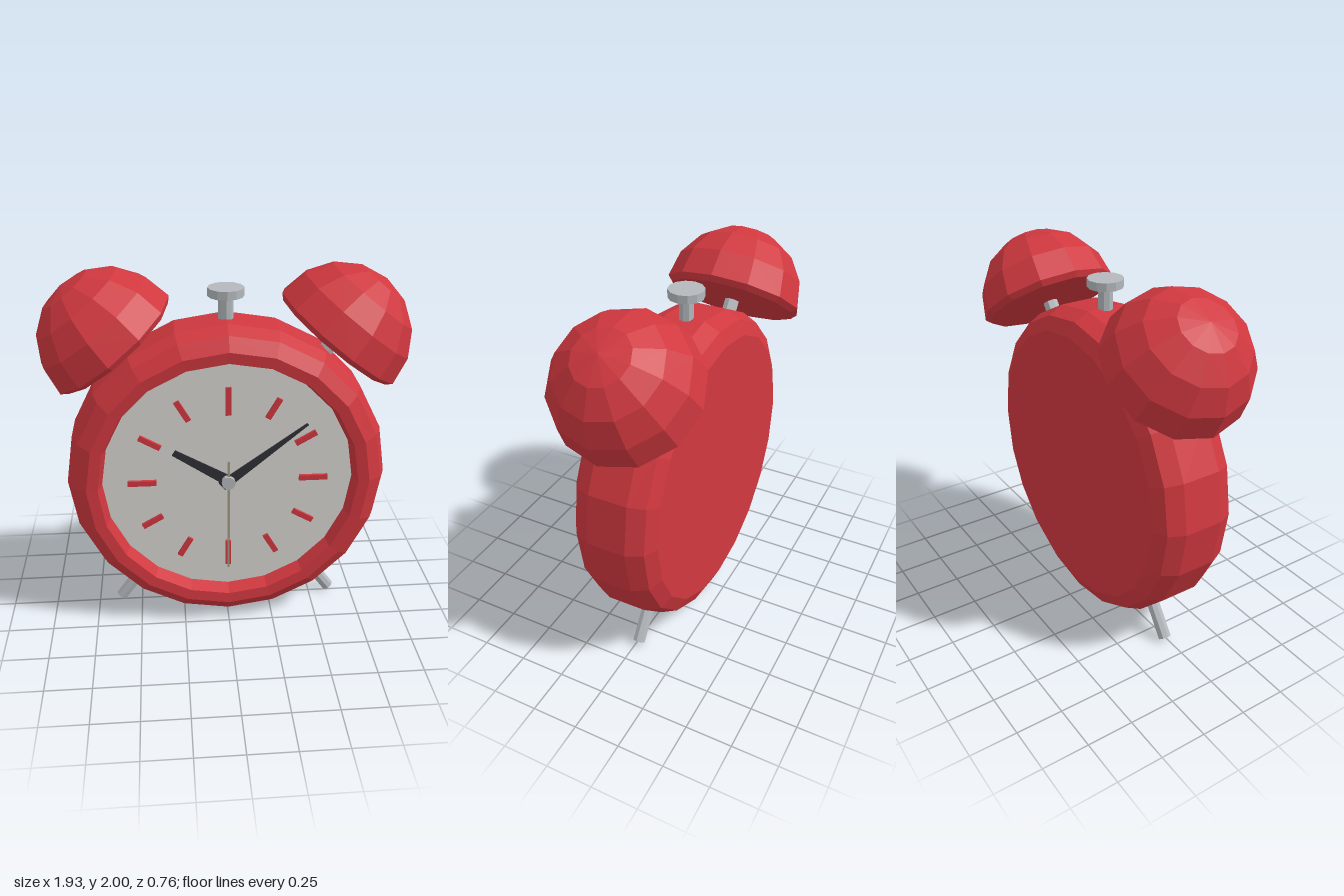
import * as THREE from 'three';

const CY = 0.873; // height of the clock centre
const DIAL_Z = 0.155;

const paint = (color) => new THREE.MeshStandardMaterial({ color, flatShading: true });
const red = paint(0xd0383f);
const metal = paint(0xb4b8bc);
const cream = paint(0xd6d4cf);
const dark = paint(0x2e2f33);
const tan = paint(0xa09880);

const lathe = (pts, sides) =>
  new THREE.LatheGeometry(pts.map(([r, y]) => new THREE.Vector2(r, y)), sides);

export function createModel() {
  const model = new THREE.Group();
  model.name = 'alarmClock';

  const add = (name, geometry, material, parent = model) => {
    const mesh = new THREE.Mesh(geometry, material);
    mesh.name = name;
    parent.add(mesh);
    return mesh;
  };

  // Rod pointing away from the clock centre, at an angle clockwise from straight up
  const radialRod = (name, angle, from, to, radius, z = 0) => {
    const rod = add(name, new THREE.CylinderGeometry(radius, radius, to - from, 8), metal);
    const mid = (from + to) / 2;
    rod.position.set(Math.sin(angle) * mid, CY + Math.cos(angle) * mid, z);
    rod.rotation.z = -angle;
  };

  // Case: closed back, rounded sides, flat front rim and recessed inner wall
  const caseGeometry = lathe([
    [0, -0.22], [0.745, -0.22], [0.82, -0.185], [0.86, -0.1], [0.86, 0.11],
    [0.825, 0.19], [0.755, 0.24], [0.695, 0.235], [0.672, DIAL_Z - 0.01],
  ], 20).rotateX(Math.PI / 2);
  add('case', caseGeometry, red).position.y = CY;

  // Face group, centred on the hands' axis
  const face = new THREE.Group();
  face.name = 'face';
  face.position.set(0, CY, DIAL_Z);
  model.add(face);
  add('dial', new THREE.CircleGeometry(0.68, 20), cream, face);

  // Hour marks, longer at the quarters
  for (let i = 0; i < 12; i++) {
    const length = i % 3 ? 0.125 : 0.155;
    const mark = new THREE.BoxGeometry(0.03, length, 0.016);
    mark.translate(0, 0.54 - length / 2, 0.008).rotateZ(-i * Math.PI / 6);
    add('hourMark', mark, red, face);
  }

  // Tapered hands
  const hand = (name, angle, tail, tip, tailWidth, tipWidth, z, material) => {
    const shape = new THREE.Shape([
      new THREE.Vector2(-tailWidth / 2, -tail), new THREE.Vector2(tailWidth / 2, -tail),
      new THREE.Vector2(tipWidth / 2, tip), new THREE.Vector2(-tipWidth / 2, tip),
    ]);
    const geometry = new THREE.ExtrudeGeometry(shape, { depth: 0.008, bevelEnabled: false });
    const mesh = add(name, geometry, material, face);
    mesh.position.z = z;
    mesh.rotation.z = -angle;
  };
  hand('hourHand', -1.017, 0.04, 0.34, 0.065, 0.034, 0.01, dark);
  hand('minuteHand', 0.909, 0.045, 0.53, 0.06, 0.012, 0.02, dark);
  hand('secondHand', Math.PI, 0.125, 0.545, 0.013, 0.013, 0.031, tan);
  const hub = add('hub', new THREE.CylinderGeometry(0.037, 0.037, 0.05, 12), metal, face);
  hub.rotation.x = Math.PI / 2;
  hub.position.z = 0.025;

  // Bells, their posts and the legs, mirrored
  const R = 0.38;
  const bellProfile = [[0, -0.028], [0.352, -0.028]];
  for (let i = 0; i <= 4; i++) {
    const t = (i * Math.PI) / 8;
    bellProfile.push([i === 4 ? 0 : R * Math.cos(t), R * Math.sin(t)]);
  }
  const bellAngle = 0.666;
  const bellDistance = 0.948;
  for (const [side, s] of [['left', 1], ['right', -1]]) {
    const bell = add(side + 'Bell', lathe(bellProfile, 12), red);
    bell.position.set(s * Math.sin(bellAngle) * bellDistance, CY + Math.cos(bellAngle) * bellDistance, 0);
    bell.rotation.z = -s * bellAngle;
    radialRod(side + 'BellPost', s * bellAngle, 0.78, 0.94, 0.042);
    radialRod(side + 'Leg', s * Math.PI * 0.8, 0.78, 1.053, 0.035, -0.015);
  }

  // Push button on top
  radialRod('buttonStem', 0, 0.8, 0.985, 0.039);
  const cap = add('buttonCap', new THREE.CylinderGeometry(0.094, 0.094, 0.044, 12), metal);
  cap.position.y = 1.868;

  return model;
}
